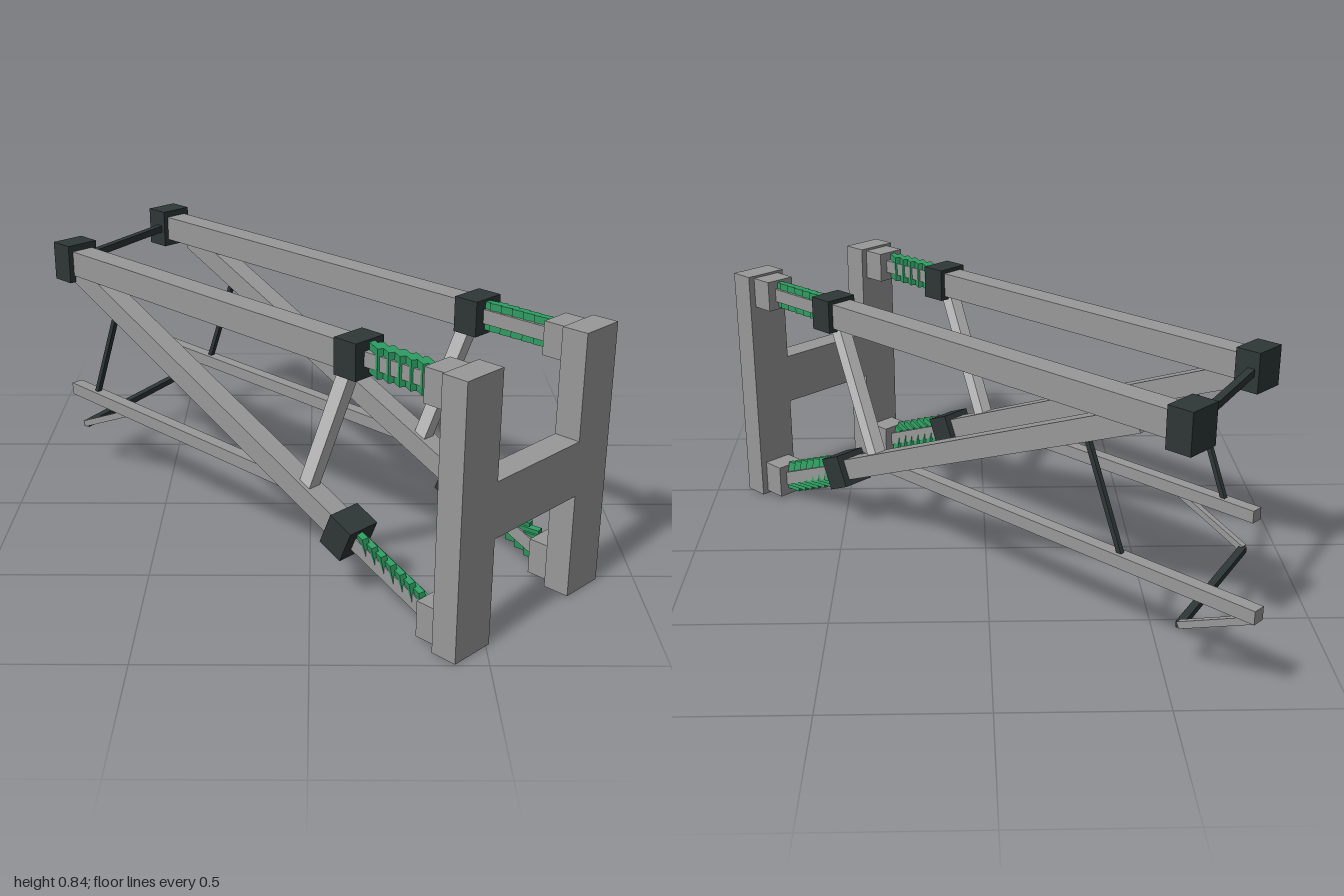
import * as THREE from 'three';

const flat = (name, color) => {
  const m = new THREE.MeshStandardMaterial({ color, flatShading: true });
  m.name = name;
  return m;
};

export function createModel() {
  const grey = flat('grey metal', 0x999999);
  const pale = flat('pale metal', 0xc8c8c8);
  const dark = flat('dark metal', 0x2f3737);
  const green = flat('spring green', 0x2f9d62);

  // The frame is built along z, then turned diagonally
  const model = new THREE.Group();
  const frame = new THREE.Group();
  frame.name = 'frame';
  frame.rotation.y = Math.PI / 4;
  model.add(frame);

  const V = (x, y, z) => new THREE.Vector3(x, y, z);

  // Axis-aligned block around a centre
  function block(name, mat, w, h, d, x, y, z) {
    const mesh = new THREE.Mesh(new THREE.BoxGeometry(w, h, d), mat);
    mesh.name = name;
    mesh.position.set(x, y, z);
    frame.add(mesh);
    return mesh;
  }

  // Square bar running from a to b
  function bar(name, mat, w, h, a, b) {
    const mesh = new THREE.Mesh(new THREE.BoxGeometry(w, h, a.distanceTo(b)), mat);
    mesh.name = name;
    mesh.position.copy(a).lerp(b, 0.5);
    mesh.lookAt(b);
    frame.add(mesh);
    return mesh;
  }

  // Stack of spring plates around a core
  function spring(name, a, b, count) {
    bar(name + 'Core', grey, 0.045, 0.045, a, b);
    for (let i = 0; i < count; i++) {
      const p = a.clone().lerp(b, (i + 0.5) / count);
      const plate = block(name + 'Plate', green, 0.088, 0.09, 0.02, p.x, p.y, p.z);
      plate.lookAt(p.clone().add(b).sub(a));
    }
  }

  // One side: x position, end of upper beam, end of lower rail, top of the foot strut
  const sides = [
    { x: -0.343, tip: -0.81, rail: -0.852, foot: -0.56 },
    { x: 0.185, tip: -0.948, rail: -1.205, foot: -1.19 },
  ];
  for (const { x, tip, rail, foot } of sides) {
    block('post', grey, 0.15, 0.84, 0.085, x, 0.42, 0.947);

    // Upper arm
    block('upperPad', grey, 0.105, 0.105, 0.08, x, 0.78, 0.865);
    spring('upperSpring', V(x, 0.78, 0.58), V(x, 0.78, 0.825), 6);
    block('upperCollar', dark, 0.115, 0.112, 0.085, x, 0.777, 0.538);
    bar('upperBeam', grey, 0.08, 0.085, V(x, 0.777, 0.5), V(x, 0.777, tip));
    block('endBlock', dark, 0.115, 0.13, 0.085, x, 0.776, tip);

    // Sloping lower arm
    const top = V(x, 0.755, -0.79), low = V(x, 0.205, 0.506);
    const dir = low.clone().sub(top).normalize();
    block('lowerPad', grey, 0.105, 0.115, 0.08, x, 0.067, 0.865);
    spring('lowerSpring', low.clone().addScaledVector(dir, 0.04), V(x, 0.07, 0.835), 8);
    bar('lowerCollar', dark, 0.115, 0.112, low.clone().addScaledVector(dir, -0.045), low.clone().addScaledVector(dir, 0.045));
    bar('diagonalBeam', grey, 0.07, 0.072, top, low);

    // Upright, rail and its hanger
    bar('upright', pale, 0.045, 0.045, V(x, 0.295, 0.335), V(x, 0.745, 0.512));
    bar('lowerRail', grey, 0.042, 0.042, V(x, 0.29, 0.28), V(x, 0.29, rail));
    bar('hangerRod', dark, 0.016, 0.016, V(x, 0.29, -0.733), V(x, 0.65, -0.583));
    bar('footStrut', grey, 0.02, 0.022, V(x, 0.272, foot), V(x, 0.16, tip));
  }

  // Parts that join the two sides
  const [a, b] = sides;
  block('crossBeam', grey, b.x - a.x - 0.15, 0.175, 0.085, (a.x + b.x) / 2, 0.422, 0.947);
  bar('upperCrossRod', dark, 0.024, 0.024, V(a.x, 0.775, a.tip), V(b.x, 0.775, b.tip));
  bar('lowerCrossRod', dark, 0.024, 0.02, V(a.x, 0.157, a.tip), V(b.x, 0.157, b.tip));

  return model;
}
